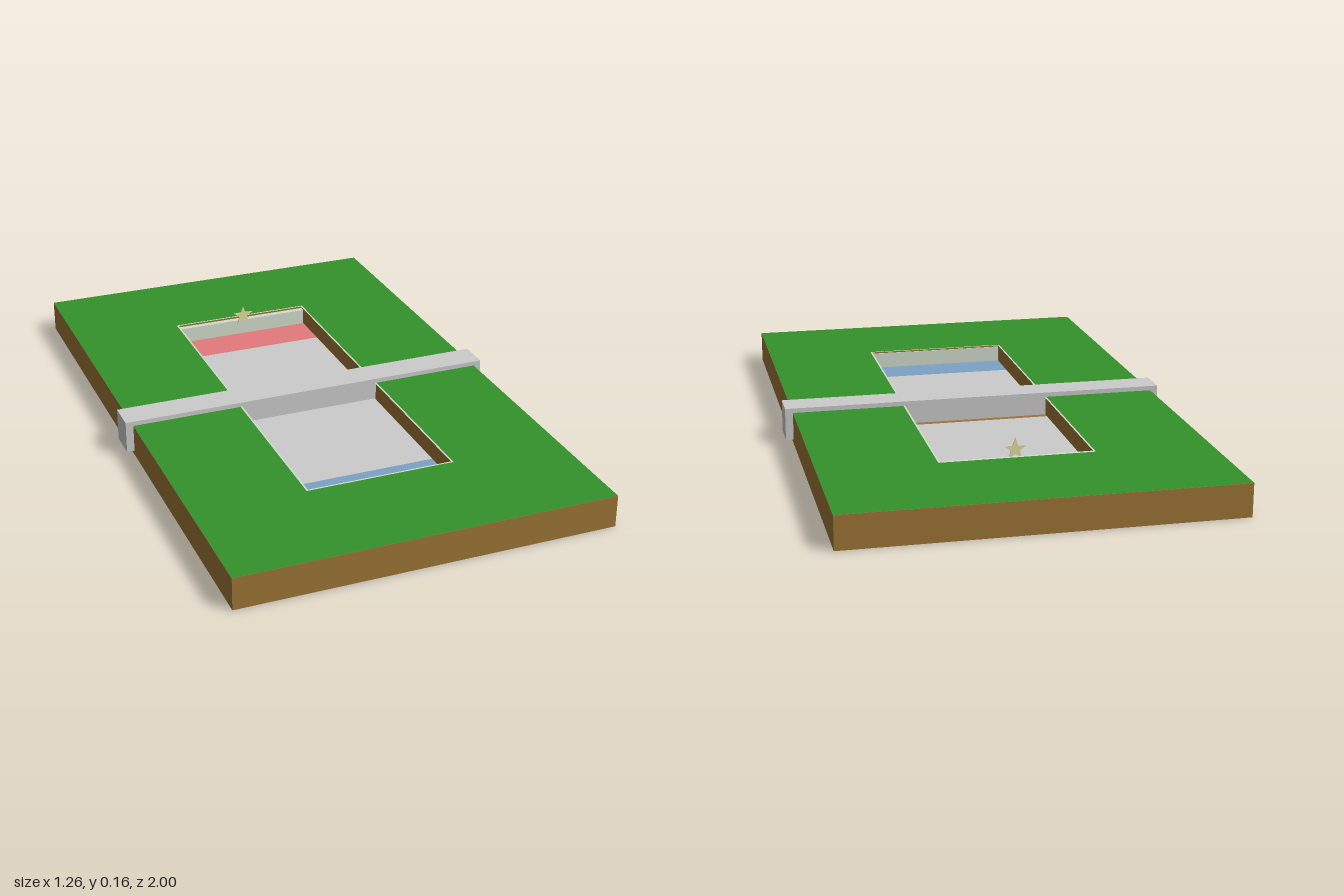
import * as THREE from 'three';

const material = (color) => new THREE.MeshStandardMaterial({ color, side: THREE.DoubleSide });
const GREY = material(0xcccccc), BROWN = material(0x9c7436), GREEN = material(0x33922a);
const RED = material(0xe3797d), BLUE = material(0x7ca1c5), PALE = material(0xd3dccd);
const STAR = material(0xe6dea0);

const HALF_W = 0.605, PIT_W = 0.24, PIT_L = 0.635, TOP = 0.105, FLOOR = 0.044;

// rectangle outline centred on the origin
function rectPath(path, hw, hl) {
  path.moveTo(-hw, -hl);
  path.lineTo(hw, -hl);
  path.lineTo(hw, hl);
  path.lineTo(-hw, hl);
  path.closePath();
  return path;
}

function frame(hw, hl, holeW, holeL) {
  const shape = rectPath(new THREE.Shape(), hw, hl);
  shape.holes.push(rectPath(new THREE.Path(), holeW, holeL));
  return shape;
}

export function createModel() {
  const model = new THREE.Group();

  const add = (name, geometry, mat) => {
    const mesh = new THREE.Mesh(geometry, mat);
    mesh.name = name;
    model.add(mesh);
    return mesh;
  };
  // box given by its limits on each axis
  const box = (name, mat, [x0, x1], [y0, y1], [z0, z1]) =>
    add(name, new THREE.BoxGeometry(x1 - x0, y1 - y0, z1 - z0), mat)
      .position.set((x0 + x1) / 2, (y0 + y1) / 2, (z0 + z1) / 2);
  const flat = (geometry, y) => geometry.rotateX(-Math.PI / 2).translate(0, y, 0);

  // earth slab with a rectangular pit, and its grass surface
  const ground = frame(HALF_W, 1, PIT_W, PIT_L);
  add('earthSlab', flat(new THREE.ExtrudeGeometry(ground, { depth: TOP - 0.001, bevelEnabled: false }), 0), BROWN);
  add('grass', flat(new THREE.ShapeGeometry(ground), TOP), GREEN);
  box('pitBottom', BROWN, [-PIT_W, PIT_W], [0, FLOOR], [-PIT_L, PIT_L]);

  // pit floor: two grey halves ending in coloured zones
  const inner = [-PIT_W + 0.003, PIT_W - 0.003], sheet = [FLOOR, FLOOR + 0.003];
  box('frontFloor', GREY, inner, sheet, [-0.04, 0.5]);
  box('blueZone', BLUE, inner, sheet, [0.5, 0.63]);
  box('backFloor', GREY, inner, sheet, [-0.475, -0.08]);
  box('redZone', RED, inner, sheet, [-0.61, -0.475]);

  // pale end panels and the thin rim around the pit
  box('backPanel', PALE, inner, [FLOOR, 0.1], [-0.63, -0.61]);
  box('frontPanel', PALE, inner, [FLOOR, 0.1], [0.63, 0.634]);
  const rim = frame(PIT_W + 0.002, PIT_L + 0.002, PIT_W - 0.004, PIT_L - 0.004);
  add('pitRim', flat(new THREE.ShapeGeometry(rim), TOP + 0.0005), PALE);

  // bar crossing the middle
  box('crossBar', GREY, [-0.63, 0.63], [0.015, 0.12], [-0.05, 0.05]);

  // thin upright star at the back of the pit
  const points = [];
  for (let i = 0; i < 10; i++) {
    const r = i % 2 ? 0.0145 : 0.036;
    const a = Math.PI / 2 + (i * Math.PI) / 5;
    points.push(new THREE.Vector2(r * Math.cos(a), r * Math.sin(a)));
  }
  const star = new THREE.ExtrudeGeometry(new THREE.Shape(points), { depth: 0.004, bevelEnabled: false });
  add('star', star, STAR).position.set(0, 0.12, -0.606);

  return model;
}
